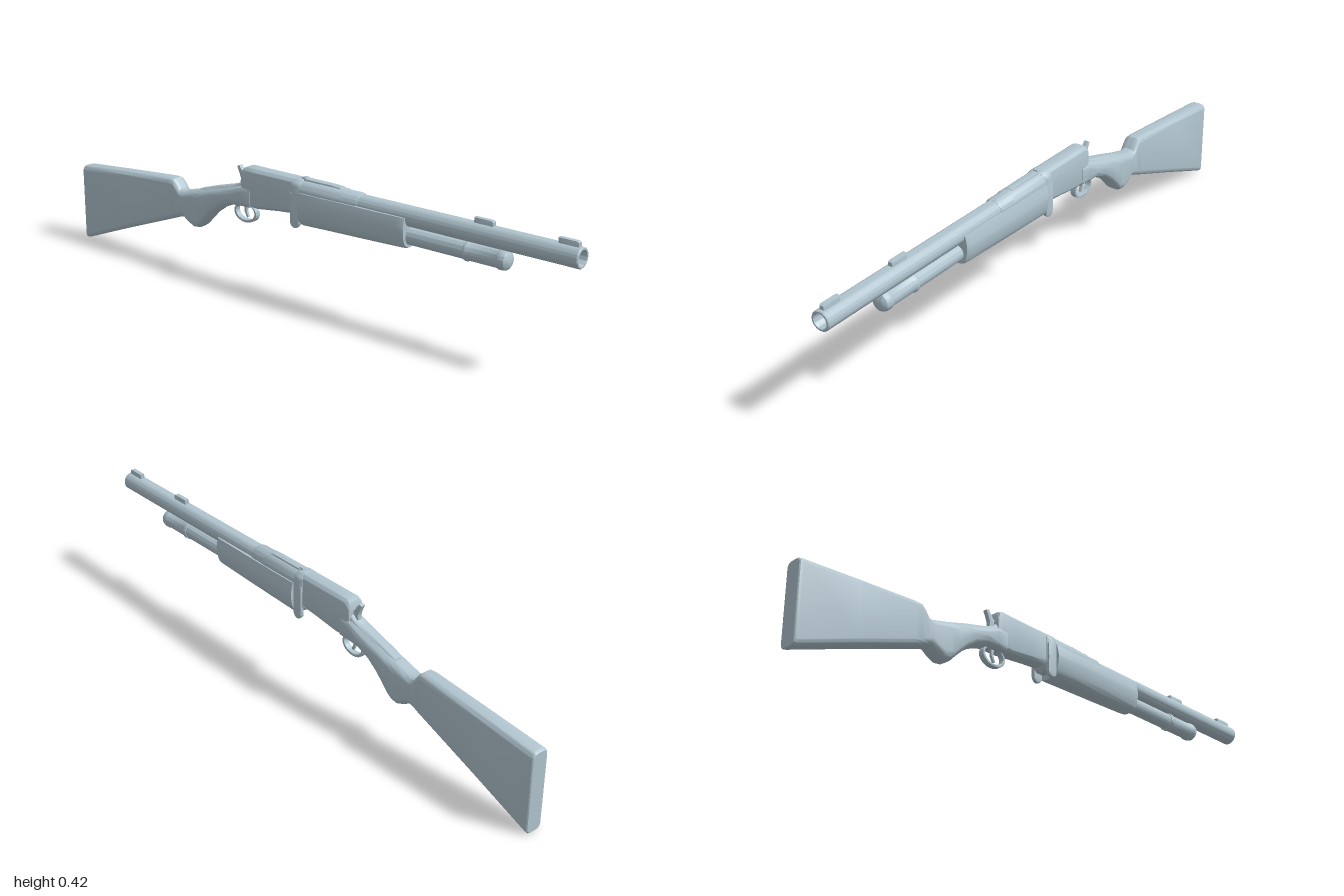
import * as THREE from 'three';
import { toCreasedNormals } from 'three/addons/utils/BufferGeometryUtils.js';

// Rounded rectangle in x/y, counter-clockwise seen from +z
function roundRect(w, y0, y1, r) {
  const pts = [], n = 6;
  const corners = [[w - r, y0 + r, -1], [w - r, y1 - r, 0], [r - w, y1 - r, 1], [r - w, y0 + r, 2]];
  for (const [cx, cy, q] of corners)
    for (let i = 0; i <= n; i++) {
      const a = (q + i / n) * Math.PI / 2;
      pts.push([cx + r * Math.cos(a), cy + r * Math.sin(a)]);
    }
  return pts;
}

// Skin over cross-sections listed from front to back
function loft(rings, zs) {
  const pos = [], idx = [], n = rings[0].length, last = rings.length - 1;
  rings.forEach((ring, i) => ring.forEach(([x, y]) => pos.push(x, y, zs[i])));
  for (let i = 0; i < last; i++)
    for (let j = 0; j < n; j++) {
      const a = i * n + j, b = i * n + (j + 1) % n;
      idx.push(a, a + n, b, b, a + n, b + n);
    }
  for (const i of [0, last]) {
    const c = pos.length / 3;
    const ys = rings[i].map(p => p[1]);
    pos.push(0, (Math.min(...ys) + Math.max(...ys)) / 2, zs[i]);
    for (let j = 0; j < n; j++) {
      const a = i * n + j, b = i * n + (j + 1) % n;
      if (i === 0) idx.push(c, a, b); else idx.push(c, b, a);
    }
  }
  const g = new THREE.BufferGeometry();
  g.setAttribute('position', new THREE.Float32BufferAttribute(pos, 3));
  g.setIndex(idx);
  return toCreasedNormals(g, 0.6);
}

// Sections: [z, bottom, top, half width, corner radius]
const body = secs => loft(secs.map(([, y0, y1, w, r]) => roundRect(w, y0, y1, r)), secs.map(s => s[0]));

// Turned part along z, profile [radius, z] from back to front
function turned(profile, y) {
  const g = new THREE.LatheGeometry(profile.map(p => new THREE.Vector2(...p)), 40);
  return toCreasedNormals(g.rotateX(Math.PI / 2).translate(0, y, 0), 0.6);
}

// Side silhouette in (z, y), extruded evenly about x = 0
function sidePlate(shape, width, bevel = 0.002) {
  const g = new THREE.ExtrudeGeometry(shape, {
    depth: width - 2 * bevel, bevelThickness: bevel, bevelSize: bevel, bevelOffset: -bevel,
    bevelSegments: 2, curveSegments: 24
  });
  return toCreasedNormals(g.translate(0, 0, bevel - width / 2).rotateY(-Math.PI / 2), 0.6);
}
const outline = pts => new THREE.Shape(pts.map(p => new THREE.Vector2(...p)));

export function createModel() {
  const model = new THREE.Group();
  const steel = new THREE.MeshStandardMaterial({ color: 0xb0c4ce });
  steel.name = 'pale blue grey';
  const add = (name, geometry) => {
    const m = new THREE.Mesh(geometry, steel);
    m.name = name;
    model.add(m);
    return m;
  };

  // Barrel with open bore, and the tube below with its rounded cap
  add('barrel', turned([[0, 0], [0.0315, 0], [0.0315, 0.997], [0.029, 1], [0.024, 1], [0.023, 0.997], [0.023, 0.85], [0, 0.85]], 0.373));
  add('lowerTube', turned([[0, 0.1], [0.027, 0.1], [0.027, 0.64], [0, 0.64]], 0.312));
  add('tubeCap', turned([[0, 0.625], [0.029, 0.625], [0.031, 0.63], [0.031, 0.636], [0.028, 0.641], [0.028, 0.738],
    [0.031, 0.743], [0.031, 0.755], [0.028, 0.765], [0.02, 0.771], [0.01, 0.774], [0, 0.775]], 0.312));

  // Fore-end: U-shaped wood flaring towards the back
  const half = new THREE.SplineCurve([[0, 0.262], [0.018, 0.264], [0.036, 0.275], [0.046, 0.3], [0.05, 0.332], [0.047, 0.355], [0.042, 0.375]]
    .map(p => new THREE.Vector2(...p))).getPoints(18).map(p => [p.x, p.y]);
  const uRing = [...half, ...half.slice(1).reverse().map(([x, y]) => [-x, y])];
  const foreSecs = [[0.425, 0.82, 0.86], [0.42, 0.87, 0.89], [0.4, 0.9, 0.9], [0.25, 0.96, 0.94], [0.12, 1, 0.97], [0.03, 1, 1], [0.02, 0.96, 0.98]];
  add('foreEnd', loft(foreSecs.map(([, sx, sy]) => uRing.map(([x, y]) => [x * sx, 0.375 + (y - 0.375) * sy])), foreSecs.map(s => s[0])));

  // Breech sleeve and collar with two side lugs
  add('breechSleeve', turned([[0, -0.01], [0.038, -0.01], [0.038, 0.18], [0.036, 0.185], [0.036, 0.235], [0.032, 0.245], [0, 0.245]], 0.373));
  add('collar', body([[0.022, 0.285, 0.41, 0.034, 0.028], [0.016, 0.28, 0.412, 0.038, 0.03], [-0.008, 0.28, 0.412, 0.038, 0.03], [-0.018, 0.29, 0.41, 0.031, 0.02]]));
  const lug = new THREE.Shape();
  lug.moveTo(0.02, 0.37);
  lug.lineTo(-0.016, 0.37);
  lug.lineTo(-0.016, 0.272);
  lug.absarc(0.002, 0.273, 0.018, Math.PI, 2 * Math.PI, false);
  for (const s of [-1, 1]) add(s > 0 ? 'leftLug' : 'rightLug', sidePlate(lug, 0.013)).position.x = s * 0.032;

  // Receiver
  add('receiver', body([[0, 0.295, 0.411, 0.03, 0.018], [-0.08, 0.288, 0.411, 0.03, 0.018], [-0.17, 0.277, 0.411, 0.03, 0.018],
    [-0.215, 0.279, 0.411, 0.03, 0.018], [-0.228, 0.285, 0.405, 0.029, 0.018], [-0.234, 0.295, 0.392, 0.026, 0.018]]));

  // Butt stock with wrist and grip swell
  add('stock', body([[-0.195, 0.274, 0.35, 0.031, 0.018], [-0.235, 0.274, 0.348, 0.035, 0.022], [-0.28, 0.27, 0.333, 0.037, 0.026],
    [-0.33, 0.248, 0.32, 0.037, 0.03], [-0.37, 0.219, 0.31, 0.037, 0.03], [-0.4, 0.19, 0.3, 0.037, 0.03], [-0.42, 0.168, 0.295, 0.036, 0.03],
    [-0.435, 0.158, 0.291, 0.035, 0.028], [-0.455, 0.155, 0.286, 0.034, 0.027], [-0.48, 0.166, 0.279, 0.033, 0.025], [-0.505, 0.181, 0.273, 0.031, 0.024],
    [-0.52, 0.178, 0.276, 0.03, 0.022], [-0.535, 0.173, 0.296, 0.03, 0.021], [-0.548, 0.168, 0.308, 0.03, 0.02], [-0.57, 0.16, 0.309, 0.03, 0.02],
    [-0.78, 0.083, 0.292, 0.03, 0.019], [-0.988, 0.004, 0.274, 0.03, 0.018], [-0.997, 0.001, 0.272, 0.029, 0.018], [-1, 0.004, 0.269, 0.026, 0.016]]));
  // Raised tang along the top of the wrist
  add('tang', body([[-0.22, 0.3, 0.375, 0.022, 0.014], [-0.245, 0.29, 0.352, 0.022, 0.014], [-0.28, 0.28, 0.338, 0.022, 0.014],
    [-0.36, 0.26, 0.317, 0.02, 0.014], [-0.43, 0.24, 0.296, 0.016, 0.013]]));

  // Hammer
  add('hammer', sidePlate(outline([[-0.225, 0.33], [-0.222, 0.385], [-0.236, 0.378], [-0.246, 0.392], [-0.258, 0.407], [-0.268, 0.402],
    [-0.26, 0.385], [-0.252, 0.365], [-0.256, 0.33]]), 0.016));

  // Trigger guard and trigger
  const guard = new THREE.Shape().absellipse(-0.233, 0.251, 0.048, 0.034, 0, Math.PI * 2, false);
  guard.holes.push(new THREE.Path().absellipse(-0.233, 0.253, 0.04, 0.027, 0, Math.PI * 2, true));
  add('triggerGuard', sidePlate(guard, 0.02, 0.0015));
  add('trigger', sidePlate(outline([[-0.228, 0.29], [-0.231, 0.255], [-0.223, 0.236], [-0.23, 0.233], [-0.24, 0.252], [-0.242, 0.29]]), 0.01));

  // Sights on the barrel, sight leaf and knob on the breech
  for (const [name, z0, z1] of [['frontSight', 0.925, 0.99], ['middleSight', 0.65, 0.715]])
    add(name, sidePlate(outline([[z0, 0.395], [z1, 0.395], [z1, 0.416], [z1 - 0.006, 0.42], [z0, 0.42]]), 0.016));
  add('rearSightLeaf', sidePlate(outline([[0.02, 0.405], [0.17, 0.405], [0.165, 0.412], [0.13, 0.414], [0.02, 0.414]]), 0.026));
  add('rearSightNotch', sidePlate(outline([[0.005, 0.4], [0.03, 0.4], [0.026, 0.418], [0.01, 0.418]]), 0.018));

  return model;
}
